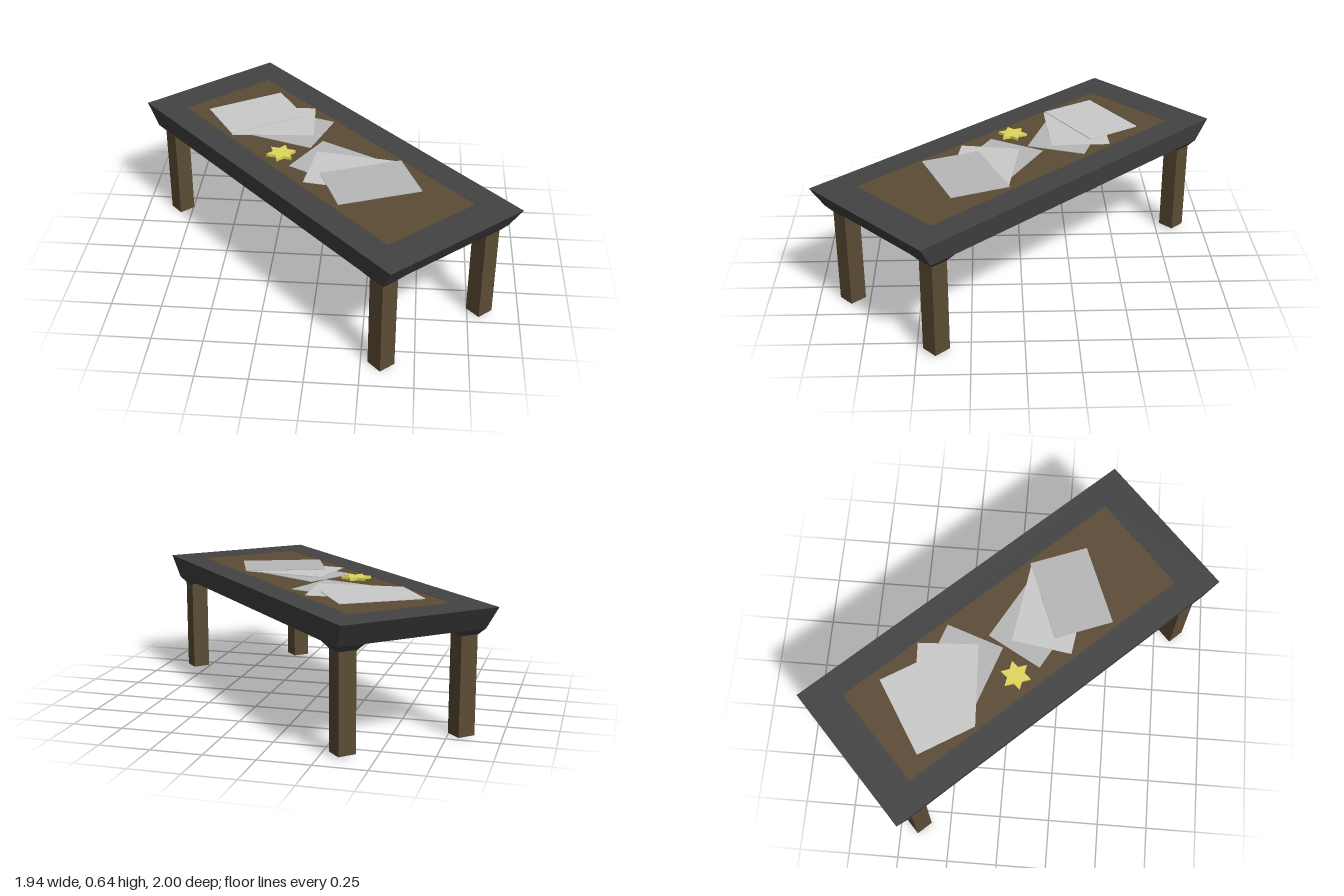
import * as THREE from 'three';

const mat = (color) => new THREE.MeshStandardMaterial({ color, flatShading: true });

function add(parent, name, geometry, material, x = 0, y = 0, z = 0) {
  const mesh = new THREE.Mesh(geometry, material);
  mesh.name = name;
  mesh.position.set(x, y, z);
  parent.add(mesh);
  return mesh;
}

function rectangle(Type, hx, hy) {
  return new Type().moveTo(-hx, -hy).lineTo(hx, -hy).lineTo(hx, hy).lineTo(-hx, hy).closePath();
}

// Move the vertices of a geometry by a rule
function reshape(geometry, rule) {
  const p = geometry.attributes.position;
  const v = new THREE.Vector3();
  for (let i = 0; i < p.count; i++) {
    rule(v.fromBufferAttribute(p, i));
    p.setXYZ(i, v.x, v.y, v.z);
  }
  geometry.computeVertexNormals();
  return geometry;
}

export function createModel() {
  const model = new THREE.Group();
  model.name = 'deskWithPapers';
  const dark = mat(0x434343);
  const wood = mat(0x5b4c35);
  const papers = [mat(0xcccccc), mat(0xb8b8b8)];
  const yellow = mat(0xe0d75c);

  // The table stands diagonally
  const table = new THREE.Group();
  table.name = 'table';
  table.rotation.y = -0.824;
  model.add(table);

  // Frame: rectangular ring with outer sides sloping in towards the bottom
  const top = 0.622, bottom = 0.512;
  const ring = rectangle(THREE.Shape, 0.989, 0.403);
  ring.holes.push(rectangle(THREE.Path, 0.815, 0.268));
  const frame = new THREE.ExtrudeGeometry(ring, { depth: top - bottom, bevelEnabled: false });
  frame.rotateX(-Math.PI / 2);
  reshape(frame, (v) => {
    if (v.y < 0.01 && Math.abs(v.x) > 0.9) {
      v.x = Math.sign(v.x) * 0.92;
      v.z = Math.sign(v.z) * 0.385;
    }
  });
  add(table, 'tableFrame', frame, dark, 0, bottom, 0);

  // Wooden panel inside the frame
  add(table, 'tablePanel', new THREE.BoxGeometry(1.63, 0.09, 0.536), wood, 0, 0.576, 0);

  // Legs, each with a flared bracket under the frame
  const legTop = 0.483;
  for (const sx of [-1, 1]) {
    for (const sz of [-1, 1]) {
      const foot = sz > 0 ? 0 : 0.01;
      const x = sx * 0.849, z = sz * 0.315;
      add(table, 'leg', new THREE.BoxGeometry(0.088, legTop - foot, 0.088), wood, x, (legTop + foot) / 2, z);
      const bracket = reshape(new THREE.BoxGeometry(0.092, bottom - legTop, 0.092), (v) => {
        if (v.y > 0) { v.x *= 1.53; v.z *= 1.53; }
      });
      add(table, 'legBracket', bracket, dark, x, (legTop + bottom) / 2, z);
    }
  }

  // Two fanned stacks of sheets: x, z, direction of the long edge, shade
  const stacks = [
    [[-0.204, -0.246, 74, 26, 1], [-0.266, -0.294, 78, -4, 0], [-0.37, -0.378, 354, -217, 0]],
    [[0.108, 0.119, 69, 39, 1], [0.164, 0.18, 77, 12, 0], [0.257, 0.272, 75, -29, 1]],
  ];
  for (const stack of stacks) {
    stack.forEach(([x, z, dx, dz, shade], i) => {
      const sheet = add(model, 'paperSheet', new THREE.BoxGeometry(0.415, 0.003, 0.295), papers[shade], x, 0.6235 + i * 0.003, z);
      sheet.rotation.y = -Math.atan2(dz, dx);
    });
  }

  // Six-pointed star
  const points = [];
  for (let i = 0; i < 12; i++) {
    const r = i % 2 ? 0.043 : 0.074;
    const a = 0.33 + (i * Math.PI) / 6;
    points.push(new THREE.Vector2(r * Math.cos(a), r * Math.sin(a)));
  }
  const star = new THREE.ExtrudeGeometry(new THREE.Shape(points), { depth: 0.014, bevelEnabled: false });
  star.rotateX(-Math.PI / 2);
  add(model, 'star', star, yellow, -0.196, top, 0.035);

  return model;
}
